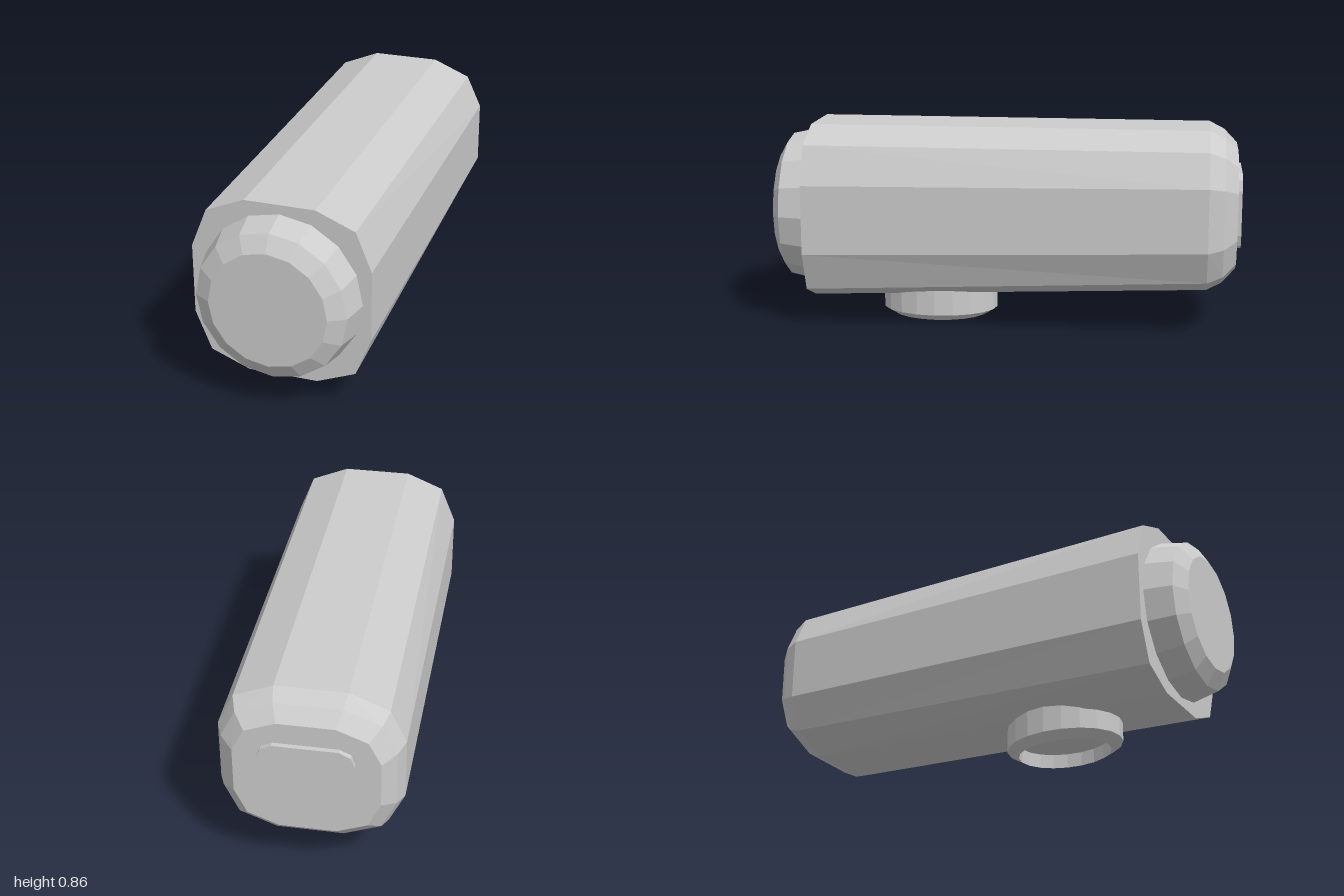
import * as THREE from 'three';

const grey = new THREE.MeshStandardMaterial({ color: 0xcccccc, flatShading: true });
grey.name = 'plain grey';

// Closed solid through symmetric rings, front to back.
// Each ring is { z, pts }, pts being its +x half from bottom to top.
function loft(rings) {
  const pos = [], idx = [];
  const n = rings[0].pts.length * 2;
  for (const { z, pts } of rings) {
    for (const [x, y] of pts) pos.push(x, y, z);
    for (const [x, y] of [...pts].reverse()) pos.push(-x, y, z);
  }
  for (let r = 0; r < rings.length - 1; r++) {
    for (let i = 0; i < n; i++) {
      const j = (i + 1) % n;
      const a = r * n + i, b = r * n + j, c = a + n, d = b + n;
      // mirrored diagonals on the two sides
      if (i < n / 2) idx.push(a, c, b, b, c, d);
      else idx.push(a, c, d, a, d, b);
    }
  }
  const last = (rings.length - 1) * n;
  for (let i = 1; i < n - 1; i++) {
    idx.push(0, i, i + 1);
    idx.push(last, last + i + 1, last + i);
  }
  const g = new THREE.BufferGeometry();
  g.setAttribute('position', new THREE.Float32BufferAttribute(pos, 3));
  g.setIndex(idx);
  g.computeVertexNormals();
  return g;
}

function lathe(points, sides) {
  return new THREE.LatheGeometry(points.map(([r, y]) => new THREE.Vector2(r, y)), sides);
}

export function createModel() {
  const model = new THREE.Group();
  const add = (name, geometry) => {
    const mesh = new THREE.Mesh(geometry, grey);
    mesh.name = name;
    model.add(mesh);
    return mesh;
  };

  // Tapered housing with a rounded rear end
  add('housing', loft([
    { z: 0.845, pts: [[0.145, 0.1], [0.305, 0.165], [0.37, 0.33], [0.37, 0.627], [0.305, 0.79], [0.145, 0.857]] },
    { z: -0.86, pts: [[0.145, 0.17], [0.305, 0.24], [0.37, 0.38], [0.37, 0.65], [0.305, 0.79], [0.145, 0.857]] },
    { z: -0.925, pts: [[0.135, 0.202], [0.285, 0.263], [0.344, 0.393], [0.344, 0.64], [0.285, 0.765], [0.135, 0.825]] },
    { z: -0.98, pts: [[0.115, 0.26], [0.24, 0.31], [0.29, 0.42], [0.29, 0.62], [0.24, 0.72], [0.115, 0.77]] },
  ]));

  // Round bevelled front cap
  const cap = add('frontCap', lathe([[0.34, 0.8], [0.34, 0.845], [0.315, 0.96], [0.247, 1], [0, 1]], 16));
  cap.rotation.x = Math.PI / 2;
  cap.scale.x = 0.985;
  cap.position.y = 0.478;

  // Rear plate with clipped corners
  const plate = [[0.13, 0.355], [0.175, 0.375], [0.19, 0.42], [0.19, 0.612], [0.175, 0.655], [0.13, 0.677]];
  add('rearPlate', loft([{ z: -0.97, pts: plate }, { z: -1, pts: plate }]));

  // Oval foot with a chamfered rim and a recess underneath
  const foot = add('foot', lathe([[0, 0.06], [0.79, 0.06], [0.8, 0], [1, 0.03], [1, 0.2]], 20));
  foot.scale.set(0.192, 1, 0.255);
  foot.position.z = 0.31;

  return model;
}
